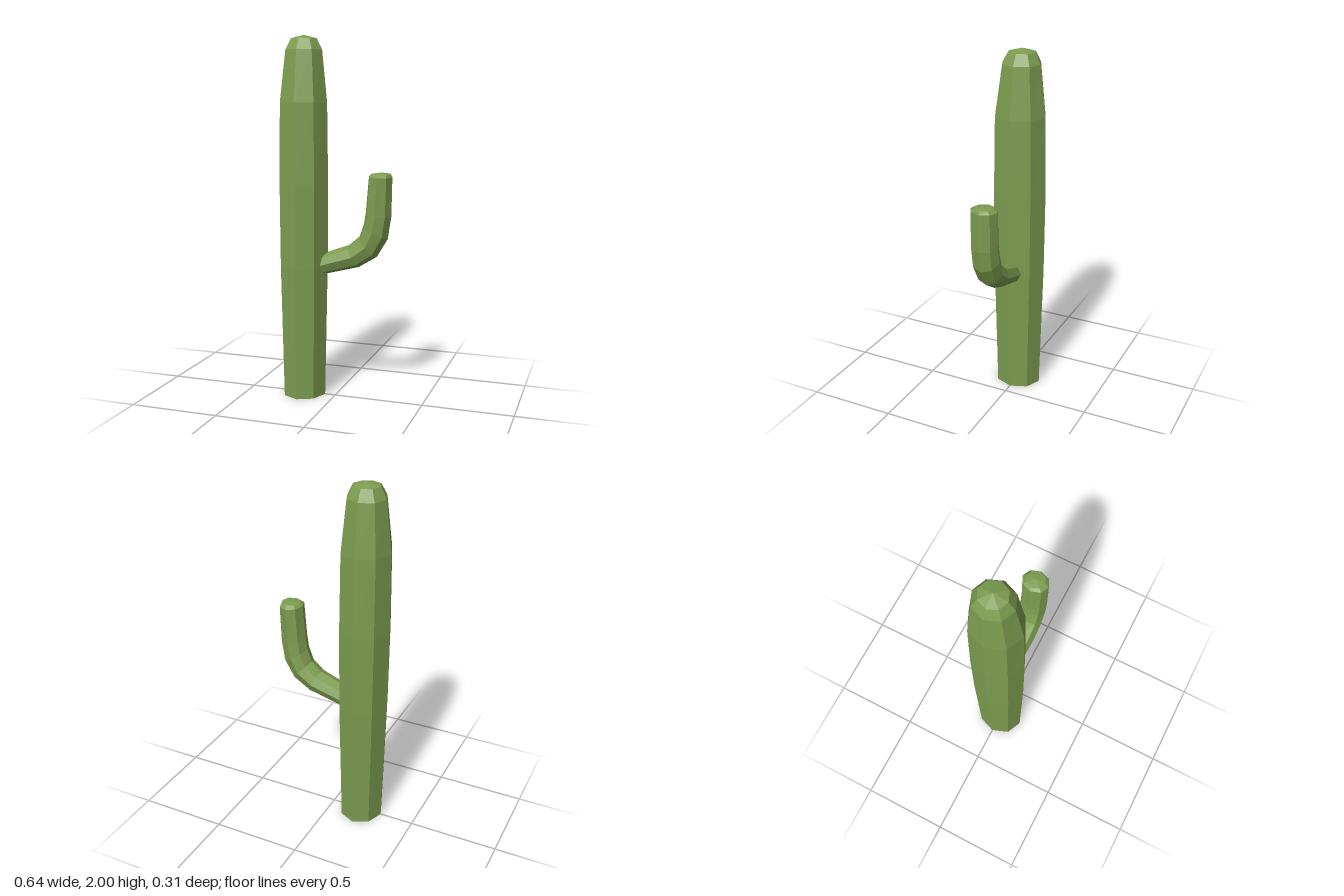
import * as THREE from 'three';

const SIDES = 8;

// Skins octagonal rings [x, y, z, tilt, radius in the xy plane, radius along z];
// tilt is the lean from vertical towards +x, in degrees. The start stays open, the end closes to an apex.
function loft(rings, apex) {
  const pos = [];
  const index = [];
  for (const [x, y, z, tilt, rp, rz] of rings) {
    const t = THREE.MathUtils.degToRad(tilt);
    for (let j = 0; j < SIDES; j++) {
      const a = (j / SIDES) * Math.PI * 2;
      const u = Math.cos(a) * rp;
      pos.push(x + Math.cos(t) * u, y - Math.sin(t) * u, z + Math.sin(a) * rz);
    }
  }
  const tip = rings.length * SIDES;
  pos.push(...apex);
  for (let i = 0; i < rings.length; i++) {
    for (let j = 0; j < SIDES; j++) {
      const a = i * SIDES + j;
      const b = i * SIDES + ((j + 1) % SIDES);
      if (i === rings.length - 1) index.push(a, tip, b);
      else index.push(a, a + SIDES, b, b, a + SIDES, b + SIDES);
    }
  }
  const geometry = new THREE.BufferGeometry();
  geometry.setAttribute('position', new THREE.Float32BufferAttribute(pos, 3));
  geometry.setIndex(index);
  geometry.computeVertexNormals();
  return geometry;
}

export function createModel() {
  const group = new THREE.Group();
  group.name = 'cactus';
  const green = new THREE.MeshStandardMaterial({
    color: 0x7c9c4f, flatShading: true, side: THREE.DoubleSide,
  });
  green.name = 'cactusGreen';

  // Trunk: slightly swollen column, open underneath, with a faceted crown
  const cx = -0.182;
  const trunk = new THREE.Mesh(loft([
    [cx, 0, 0, 0, 0.122, 0.135],
    [cx, 0.74, 0, 0, 0.138, 0.153],
    [cx, 1.2, 0, 0, 0.141, 0.156],
    [cx, 1.64, 0, 0, 0.136, 0.148],
    [cx, 1.92, -0.006, 0, 0.106, 0.11],
    [cx, 1.98, -0.008, 0, 0.075, 0.076],
  ], [cx, 2, -0.009]), green);
  trunk.name = 'trunk';

  // Arm: leaves the trunk sideways and bends upward
  const arm = new THREE.Mesh(loft([
    [-0.1, 0.742, 0, 70, 0.055, 0.062],
    [0.11, 0.808, 0, 66, 0.066, 0.073],
    [0.19, 0.865, 0, 48, 0.073, 0.075],
    [0.232, 0.95, 0, 30, 0.077, 0.077],
    [0.246, 1.04, 0, 6, 0.072, 0.078],
    [0.256, 1.247, -0.002, 2, 0.065, 0.078],
    [0.26, 1.263, -0.003, 0, 0.053, 0.056],
  ], [0.26, 1.27, -0.003]), green);
  arm.name = 'arm';

  group.add(trunk, arm);
  return group;
}
